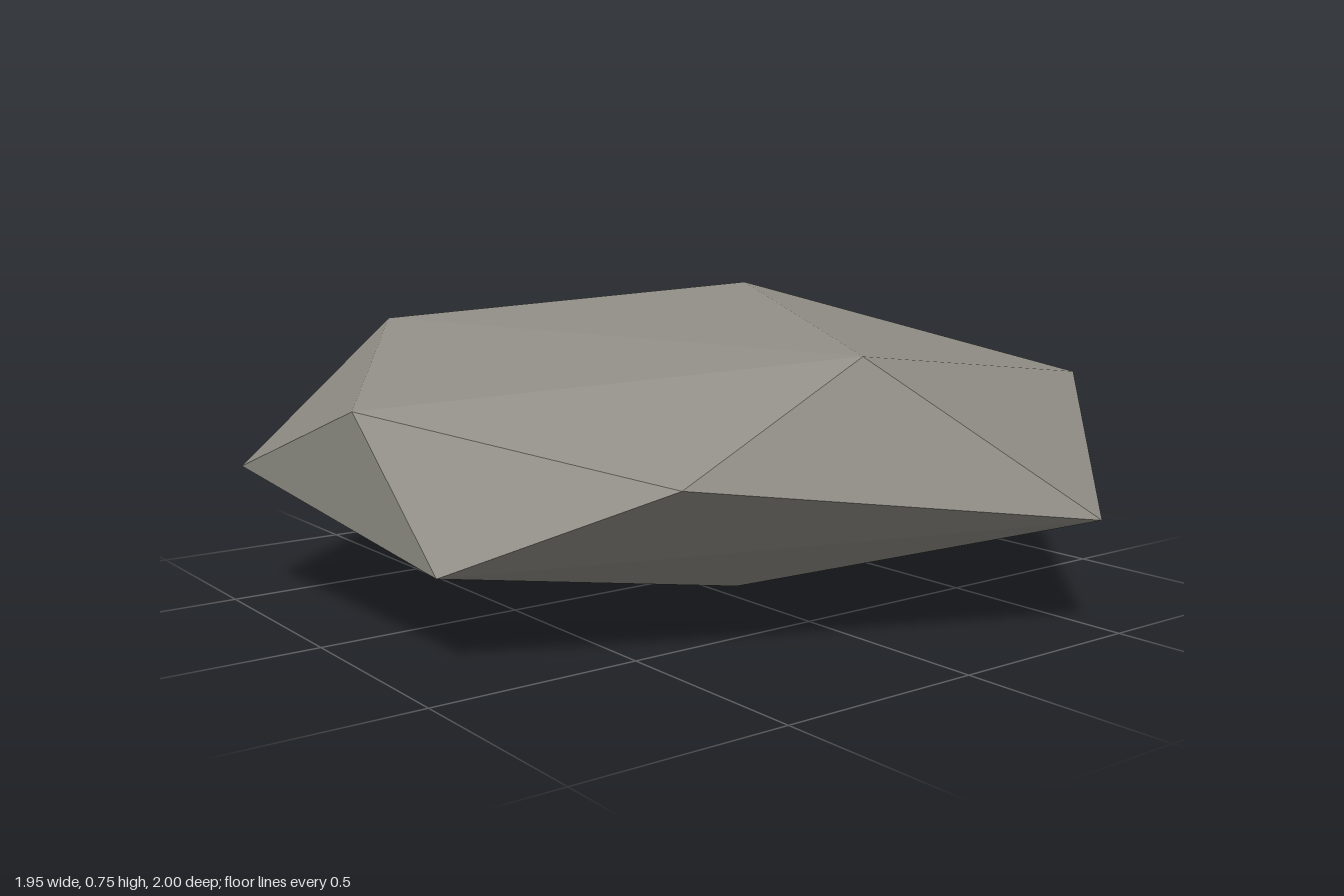
import * as THREE from 'three';
import { ConvexGeometry } from 'three/addons/geometries/ConvexGeometry.js';

// Corners of the boulder, from the crown down to the underside
const crown = [[0.30, 0.75, -0.11], [-0.55, 0.67, -0.52], [-0.03, 0.645, 0.695], [0.47, 0.605, -0.86]];
const shoulder = [[0.90, 0.525, 0.52], [-0.92, 0.525, 0.03], [-0.34, 0.45, -1.0], [-0.53, 0.41, 0.705]];
const rim = [[0.97, 0.375, -0.51], [-0.975, 0.335, -0.48], [0.42, 0.275, 1.0], [0.17, 0.26, -0.985], [-0.89, 0.21, 0.34]];
const underside = [[0.72, 0.165, 0.06], [-0.17, 0.10, 0.44], [-0.585, 0.09, -0.80], [0.20, 0, -0.365]];

export function createModel() {
  const group = new THREE.Group();
  group.name = 'rock';

  const stone = new THREE.MeshStandardMaterial({ color: 0x8e8c84 });
  stone.name = 'warm grey stone';
  stone.flatShading = true;

  // One faceted convex boulder
  const corners = [...crown, ...shoulder, ...rim, ...underside].map((p) => new THREE.Vector3(...p));
  const boulder = new THREE.Mesh(new ConvexGeometry(corners), stone);
  boulder.name = 'boulder';
  group.add(boulder);

  return group;
}
